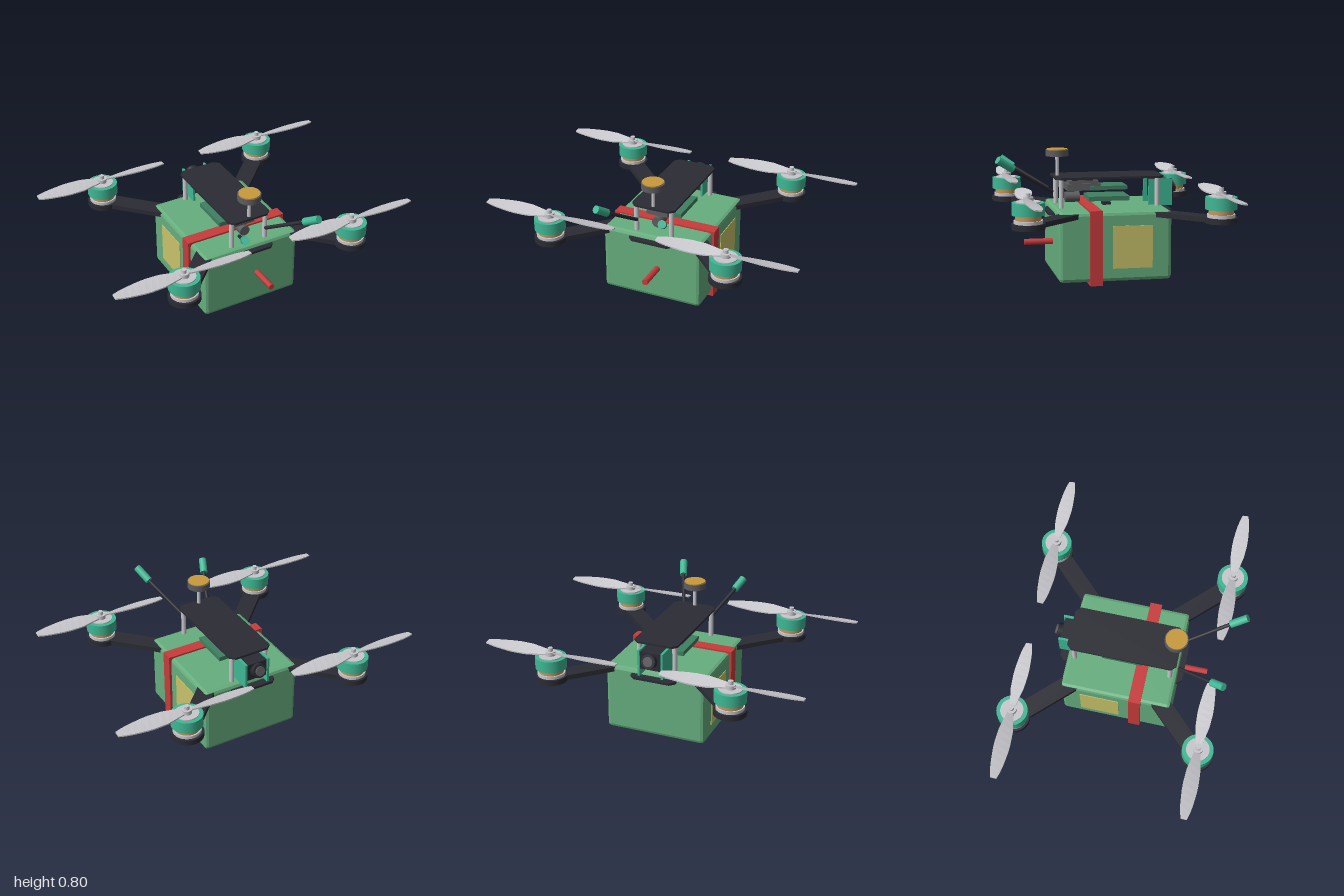
import * as THREE from 'three';
import { RoundedBoxGeometry } from 'three/addons/geometries/RoundedBoxGeometry.js';

const mat = (name, color, extra = {}) => {
  const m = new THREE.MeshStandardMaterial({ color, ...extra });
  m.name = name;
  return m;
};

export function createModel() {
  const model = new THREE.Group();
  model.name = 'quadcopter';
  const M = {
    green: mat('battery green', 0x66ae7e),
    red: mat('strap red', 0xc83c3c),
    carbon: mat('carbon black', 0x2b2b34),
    teal: mat('anodised teal', 0x3fb894),
    silver: mat('silver', 0xc8c8cd),
    copper: mat('copper', 0xc8965a),
    label: mat('label yellow', 0xc9c36a),
    grey: mat('dark grey', 0x5e5e62),
    gold: mat('gold', 0xc99a3c),
    board: mat('board green', 0x3f8060),
  };

  const add = (name, geo, material, x = 0, y = 0, z = 0, parent = model) => {
    const mesh = new THREE.Mesh(geo, material);
    mesh.name = name;
    mesh.position.set(x, y, z);
    parent.add(mesh);
    return mesh;
  };
  // Box given by its min and max corners
  const box = (name, material, x0, x1, y0, y1, z0, z1) =>
    add(name, new THREE.BoxGeometry(x1 - x0, y1 - y0, z1 - z0), material,
      (x0 + x1) / 2, (y0 + y1) / 2, (z0 + z1) / 2);
  // Upright cylinder between two heights
  const post = (name, material, r, y0, y1, x, z, parent = model, sides = 32) =>
    add(name, new THREE.CylinderGeometry(r, r, y1 - y0, sides), material, x, (y0 + y1) / 2, z, parent);
  // Cylinder between two points
  const rod = (name, material, r, a, b, sides = 16) => {
    const A = new THREE.Vector3(...a), B = new THREE.Vector3(...b);
    const mid = A.clone().add(B).multiplyScalar(0.5);
    const mesh = add(name, new THREE.CylinderGeometry(r, r, A.distanceTo(B), sides), material, mid.x, mid.y, mid.z);
    mesh.quaternion.setFromUnitVectors(new THREE.Vector3(0, 1, 0), B.sub(A).normalize());
    return mesh;
  };
  // Flat plate with clipped corners
  const plate = (name, hw, z0, z1, y0, y1) => {
    const c = 0.03;
    const pts = [[-hw + c, z0], [hw - c, z0], [hw, z0 + c], [hw, z1 - c],
      [hw - c, z1], [-hw + c, z1], [-hw, z1 - c], [-hw, z0 + c]];
    const shape = new THREE.Shape(pts.map(([x, z]) => new THREE.Vector2(x, -z)));
    const geo = new THREE.ExtrudeGeometry(shape, { depth: y1 - y0, bevelEnabled: false });
    geo.rotateX(-Math.PI / 2);
    return add(name, geo, M.carbon, 0, y0, 0);
  };

  // Battery with chamfered edges, strap, labels and lead
  let batteryGeo = new RoundedBoxGeometry(0.64, 0.425, 0.69, 1, 0.022);
  if (batteryGeo.index) batteryGeo = batteryGeo.toNonIndexed();
  batteryGeo.computeVertexNormals();
  add('battery', batteryGeo, M.green, 0, 0.2325, -0.02);
  box('strap', M.red, -0.335, 0.335, 0, 0.456, 0.065, 0.14);
  for (const s of [-1, 1]) {
    add('batteryLabel', new THREE.BoxGeometry(0.006, 0.26, 0.245), M.label, s * 0.321, 0.23, -0.1225);
  }
  rod('batteryLead', M.red, 0.019, [0.04, 0.23, 0.3], [0.04, 0.23, 0.5], 8);

  // Frame plates and standoffs
  plate('bottomPlate', 0.145, -0.415, 0.36, 0.405, 0.42);
  plate('topPlate', 0.14, -0.36, 0.315, 0.62, 0.633);
  for (const x of [-0.115, 0.115]) {
    for (const z of [0.28, -0.32]) post('standoff', M.silver, 0.015, 0.43, 0.624, x, z, model, 16);
  }

  // Propeller blade: a box whose chord and pitch vary along its length
  const bladeGeo = new THREE.BoxGeometry(0.42, 0.008, 1, 10, 1, 1).toNonIndexed();
  const stations = [[0.01, 0.016], [0.06, 0.026], [0.14, 0.042], [0.24, 0.047], [0.34, 0.038], [0.41, 0.026], [0.43, 0.018]];
  const chord = (s) => {
    let i = 1;
    while (i < stations.length - 1 && s > stations[i][0]) i++;
    const [a, ca] = stations[i - 1], [b, cb] = stations[i];
    return ca + (cb - ca) * (s - a) / (b - a);
  };
  const p = bladeGeo.attributes.position;
  for (let i = 0; i < p.count; i++) {
    const s = p.getX(i) + 0.22;
    const z = p.getZ(i) * 2 * chord(s);
    const pitch = 0.42 - 0.65 * s;
    p.setXYZ(i, s, p.getY(i) + z * Math.tan(pitch), z);
  }
  bladeGeo.computeVertexNormals();

  // Arms, motors and propellers
  for (const sx of [-1, 1]) {
    for (const [mz, sz] of [[0.54, 1], [-0.595, -1]]) {
      const mx = sx * 0.567;
      const end = new THREE.Vector2(mx, mz);
      const start = new THREE.Vector2(sx * 0.1, mz - sz * 0.475);
      const dir = end.clone().sub(start);
      const arm = add('arm', new THREE.BoxGeometry(dir.length(), 0.03, 0.11), M.carbon,
        (start.x + end.x) / 2, 0.421, (start.y + end.y) / 2);
      arm.rotation.y = -Math.atan2(dir.y, dir.x);

      const motor = new THREE.Group();
      motor.name = 'motor';
      motor.position.set(mx, 0, mz);
      model.add(motor);
      post('motorMount', M.carbon, 0.097, 0.404, 0.437, 0, 0, motor);
      post('motorBase', M.silver, 0.083, 0.437, 0.456, 0, 0, motor);
      post('motorWindings', M.copper, 0.074, 0.456, 0.487, 0, 0, motor);
      post('motorBell', M.teal, 0.094, 0.485, 0.557, 0, 0, motor);
      post('motorCap', M.silver, 0.07, 0.557, 0.563, 0, 0, motor);
      post('propellerHub', M.silver, 0.03, 0.56, 0.588, 0, 0, motor, 24);
      post('motorShaft', M.silver, 0.015, 0.588, 0.61, 0, 0, motor, 16);
      for (const turn of [0, Math.PI]) {
        add('propellerBlade', bladeGeo, M.silver, 0, 0.576, 0, motor).rotation.y = turn;
      }
    }
  }

  // Electronics between the plates
  box('lowerBoard', M.board, -0.1, 0.1, 0.48, 0.508, -0.15, 0.105);
  box('upperBoard', M.board, -0.085, 0.085, 0.547, 0.571, -0.138, 0.09);
  box('connector', M.carbon, -0.03, 0.03, 0.44, 0.461, -0.047, 0.005);
  rod('capacitor', M.grey, 0.033, [0, 0.498, 0.15], [0, 0.498, 0.24]);
  box('transmitter', M.grey, -0.07, 0.07, 0.543, 0.585, 0.025, 0.235);
  box('heatSinkBase', M.grey, -0.06, 0.06, 0.585, 0.603, 0.04, 0.22);
  box('heatSinkTop', M.carbon, -0.05, 0.05, 0.603, 0.615, 0.07, 0.2);

  // Rear camera between two side plates, lens tilted upward
  for (const s of [-1, 1]) {
    add('cameraBracket', new THREE.BoxGeometry(0.014, 0.165, 0.15), M.teal, s * 0.075, 0.523, -0.35);
  }
  box('cameraBody', M.carbon, -0.068, 0.068, 0.485, 0.595, -0.415, -0.3);
  rod('cameraLens', M.carbon, 0.044, [0, 0.54, -0.39], [0, 0.557, -0.452], 24);
  rod('lensGlass', M.grey, 0.03, [0, 0.556, -0.448], [0, 0.559, -0.46], 24);

  // Positioning puck on its mast
  post('mast', M.silver, 0.011, 0.63, 0.76, 0, 0.287, model, 16);
  post('puck', M.grey, 0.071, 0.755, 0.793, 0, 0.287);
  post('puckTop', M.gold, 0.065, 0.793, 0.799, 0, 0.287);

  // Antennas with teal sleeves
  const antennas = [
    [[0.09, 0.545, 0.33], [0.2, 0.703, 0.583], [0.236, 0.763, 0.676]],
    [[-0.09, 0.545, 0.33], [-0.178, 0.675, 0.54], [-0.21, 0.727, 0.615]],
  ];
  for (const [base, joint, tip] of antennas) {
    rod('antennaRod', M.carbon, 0.011, base, joint);
    rod('antennaSleeve', M.teal, 0.024, joint, tip);
  }

  return model;
}
